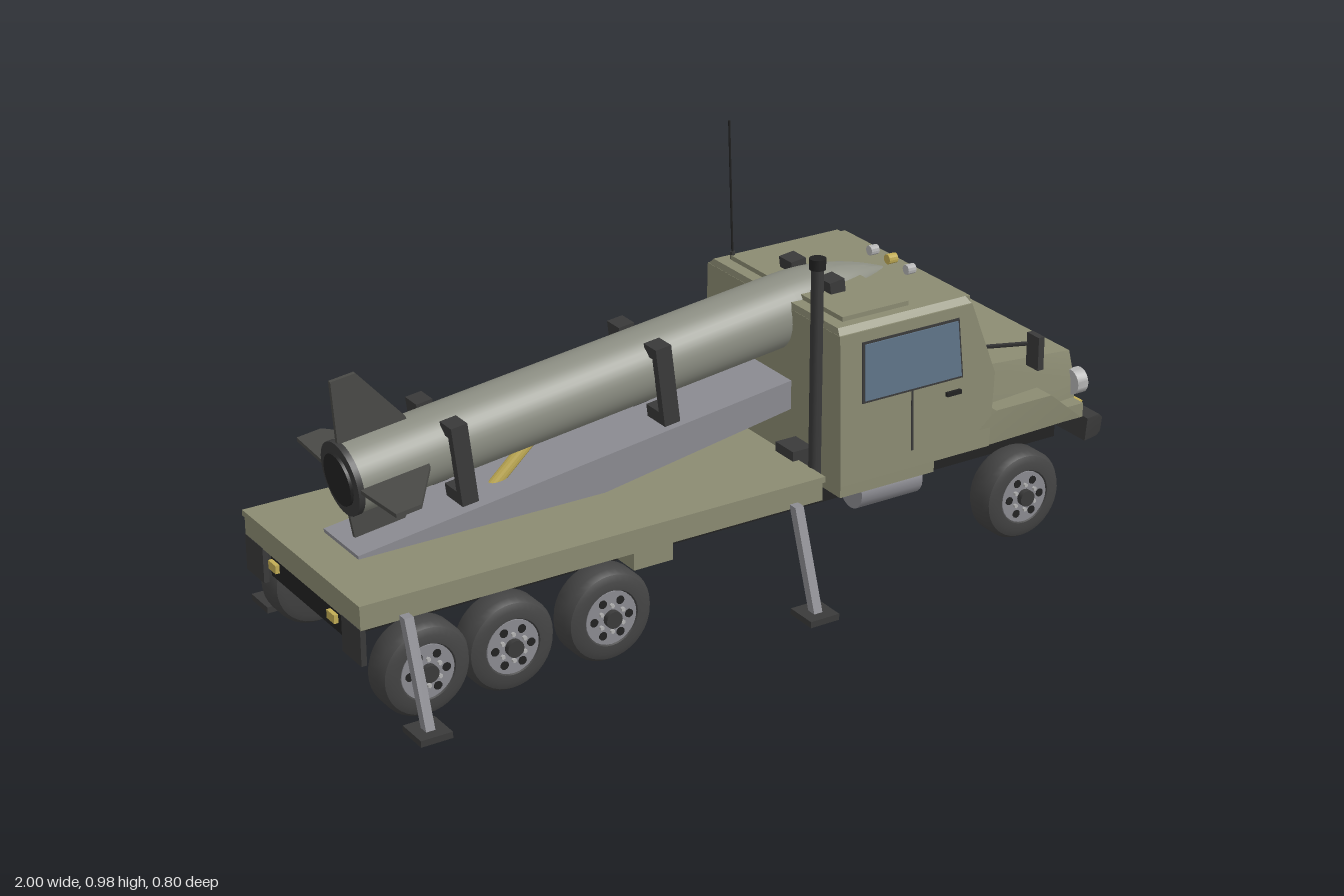
import * as THREE from 'three';
import { toCreasedNormals } from 'three/addons/utils/BufferGeometryUtils.js';
import { ConvexGeometry } from 'three/addons/geometries/ConvexGeometry.js';

const paint = (color) => new THREE.MeshStandardMaterial({ color });
const olive = paint(0x8b8b72), dark = paint(0x3a3a3a), black = paint(0x222222), tyre = paint(0x444444);
const steel = paint(0x8c8c92), light = paint(0xb5b5b5), glass = paint(0x5f7488), amber = paint(0xc2ad55);
const body = paint(0x8c8e83), finGrey = paint(0x4a4a47);

const V = (x, y, z) => new THREE.Vector3(x, y, z);

function add(parent, name, geo, mat, x = 0, y = 0, z = 0) {
  const m = new THREE.Mesh(toCreasedNormals(geo, 0.6), mat);
  m.name = name;
  m.position.set(x, y, z);
  parent.add(m);
  return m;
}
// box given by its limits
function box(parent, name, mat, x0, x1, y0, y1, z0, z1) {
  return add(parent, name, new THREE.BoxGeometry(x1 - x0, y1 - y0, Math.abs(z1 - z0)), mat,
    (x0 + x1) / 2, (y0 + y1) / 2, (z0 + z1) / 2);
}
// convex solid through corner points
const hull = (parent, name, mat, pts) => add(parent, name, new ConvexGeometry(pts.map((p) => V(...p))), mat);
// rod between two points
function rod(parent, name, mat, a, b, r, sides = 12) {
  const d = b.clone().sub(a);
  const m = add(parent, name, new THREE.CylinderGeometry(r, r, d.length(), sides), mat);
  m.position.copy(a).addScaledVector(d, 0.5);
  m.quaternion.setFromUnitVectors(V(0, 1, 0), d.normalize());
  return m;
}
const disc = (parent, name, mat, x, y, z, r, depth, sides = 20) =>
  rod(parent, name, mat, V(x - depth / 2, y, z), V(x + depth / 2, y, z), r, sides);

// wheel whose outer side faces +z
function wheel() {
  const g = new THREE.Group();
  g.name = 'wheel';
  const profile = [[0, -0.042], [0.085, -0.042], [0.1, -0.036], [0.109, -0.022], [0.109, 0.022],
    [0.1, 0.036], [0.085, 0.042], [0.066, 0.042], [0.06, 0.03]].map((p) => new THREE.Vector2(...p));
  add(g, 'tyre', new THREE.LatheGeometry(profile, 36).rotateX(Math.PI / 2), tyre);
  rod(g, 'rim', steel, V(0, 0, 0.02), V(0, 0, 0.04), 0.063, 28);
  rod(g, 'hub', dark, V(0, 0, 0.03), V(0, 0, 0.054), 0.02, 16);
  for (let i = 0; i < 6; i++) {
    const a = (i * Math.PI) / 3, c = Math.cos(a), s = Math.sin(a);
    rod(g, 'rimHole', black, V(c * 0.044, s * 0.044, 0.03), V(c * 0.044, s * 0.044, 0.042), 0.01, 10);
    const b = a + Math.PI / 6;
    rod(g, 'wheelNut', light, V(Math.cos(b) * 0.031, Math.sin(b) * 0.031, 0.03),
      V(Math.cos(b) * 0.031, Math.sin(b) * 0.031, 0.047), 0.005, 6);
  }
  return g;
}

// rocket along local +x, tail at the origin
function rocket() {
  const g = new THREE.Group();
  g.name = 'rocket';
  const R = 0.083, start = 1.13, end = 1.431;
  const pts = [[0, 0], [R, 0], [R, start]].map((p) => new THREE.Vector2(...p));
  for (let i = 1; i <= 12; i++) {
    const t = i / 12;
    pts.push(new THREE.Vector2(Math.max(0, R * (1 - t ** 2.1)), start + (end - start) * t));
  }
  add(g, 'rocketBody', new THREE.LatheGeometry(pts, 40).rotateZ(-Math.PI / 2), body);
  disc(g, 'tailRing', dark, 0.002, 0, 0, R + 0.002, 0.014, 40);
  disc(g, 'nozzle', black, -0.004, 0, 0, 0.06, 0.016, 28);
  const fin = new THREE.Shape([[0, 0.07], [0.17, 0.07], [0.165, 0.09], [0.068, 0.228], [0.008, 0.228]]
    .map((p) => new THREE.Vector2(...p)));
  for (let i = 0; i < 4; i++) {
    const geo = new THREE.ExtrudeGeometry(fin, { depth: 0.01, bevelEnabled: false }).translate(0, 0, -0.005);
    add(g, 'fin', geo, finGrey).rotation.x = (i * Math.PI) / 2;
  }
  // cradle clamps
  for (const x of [0.24, 0.755, 1.22]) for (const s of [1, -1]) {
    box(g, 'clampArm', dark, x - 0.02, x + 0.02, -0.115, 0.072, s * 0.082, s * 0.102);
    box(g, 'clampLip', dark, x - 0.02, x + 0.02, 0.046, 0.074, s * 0.052, s * 0.102);
    box(g, 'clampFoot', dark, x - 0.02, x + 0.02, -0.115, -0.085, s * 0.03, s * 0.102);
  }
  g.position.set(-0.89, 0.453, 0);
  g.rotation.z = Math.atan(0.1236);
  return g;
}

function cab(g) {
  const wide = (y) => 0.28 - (y - 0.25) * 0.035;
  const both = (list) => list.flatMap(([x, y, z = wide(y)]) => [[x, y, z], [x, y, -z]]);
  const frontX = (y) => 0.565 + (0.63 - y) * 0.37;
  hull(g, 'cabShell', olive, both([[0.205, 0.262], [0.62, 0.262], [0.635, 0.44], [0.568, 0.622], [0.205, 0.622]]));
  box(g, 'cabFloor', olive, 0.205, 0.465, 0.235, 0.265, -0.278, 0.278);
  hull(g, 'roof', olive, both([[0.205, 0.62, 0.265], [0.57, 0.62, 0.265], [0.56, 0.636, 0.25], [0.21, 0.636, 0.25]]));
  box(g, 'roofHatch', olive, 0.24, 0.42, 0.63, 0.647, -0.225, 0.225);
  box(g, 'windscreenVisor', olive, 0.55, 0.578, 0.612, 0.632, -0.245, 0.245);
  // bonnet and wings
  hull(g, 'bonnet', olive, both([[0.6, 0.262, 0.25], [0.6, 0.445, 0.23], [0.63, 0.442, 0.23],
    [0.915, 0.403, 0.195], [0.92, 0.262, 0.215], [0.92, 0.33, 0.213]]));
  for (const s of [1, -1]) {
    const wing = [[0.56, 0.262], [0.58, 0.3], [0.64, 0.345], [0.8, 0.345], [0.87, 0.285], [0.9, 0.262]];
    hull(g, 'wing', olive, wing.flatMap(([x, y]) => [[x, y, s * 0.17], [x, y, s * (x > 0.84 ? 0.265 : 0.278)]]));
    box(g, 'frontCorner', olive, 0.86, 0.915, 0.255, 0.29, s * 0.18, s * 0.255);
    // glazing
    hull(g, 'windscreenPane', glass, [0.475, 0.605].flatMap((y) => [0.012, 0.238].flatMap((z) =>
      [[frontX(y) - 0.01, y, s * z], [frontX(y) + 0.005, y, s * z]])));
    const pane = (name, mat, pts, out) => hull(g, name, mat,
      pts.flatMap(([x, y]) => [[x, y, s * (wide(y) - 0.01)], [x, y, s * (wide(y) + out)]]));
    pane('windowFrame', dark, [[0.264, 0.596], [0.531, 0.596], [0.543, 0.45], [0.264, 0.45]], 0.002);
    pane('sideWindow', glass, [[0.27, 0.59], [0.526, 0.59], [0.537, 0.456], [0.27, 0.456]], 0.005);
    pane('doorSeam', dark, [[0.399, 0.45], [0.404, 0.45], [0.404, 0.305], [0.399, 0.305]], 0.002);
    pane('doorHandle', black, [[0.495, 0.424], [0.535, 0.424], [0.535, 0.414], [0.495, 0.414]], 0.008);
    // mirror
    rod(g, 'mirrorArm', dark, V(0.615, 0.505, s * 0.265), V(0.67, 0.535, s * 0.36), 0.005, 8);
    box(g, 'mirror', dark, 0.662, 0.678, 0.48, 0.56, s * 0.35, s * 0.393);
    // lamps
    disc(g, 'headlight', light, 0.923, 0.33, s * 0.212, 0.031, 0.03, 24);
    box(g, 'indicator', amber, 0.9, 0.928, 0.266, 0.287, s * 0.2, s * 0.236);
    disc(g, 'roofLamp', light, 0.535, 0.648, s * 0.072, 0.012, 0.022, 12);
  }
  disc(g, 'roofLamp', amber, 0.535, 0.65, 0, 0.012, 0.024, 12);
  // grille
  box(g, 'grille', dark, 0.9, 0.925, 0.25, 0.387, -0.188, 0.188);
  for (let i = 0; i < 5; i++) box(g, 'grilleBar', steel, 0.92, 0.932, 0.27 + i * 0.024, 0.276 + i * 0.024, -0.178, 0.178);
  // bumper
  hull(g, 'bumper', dark, both([[0.925, 0.19, 0.255], [0.925, 0.25, 0.262], [0.965, 0.193, 0.25],
    [0.975, 0.203, 0.25], [0.975, 0.24, 0.255], [0.965, 0.25, 0.255]]));
  box(g, 'bumperMount', dark, 0.88, 0.93, 0.2, 0.245, -0.16, 0.16);
  box(g, 'numberPlate', light, 0.97, 0.98, 0.209, 0.234, -0.052, 0.052);
  for (const s of [1, -1]) {
    disc(g, 'fogLamp', amber, 0.985, 0.221, s * 0.102, 0.013, 0.03, 8);
    for (const z of [0.135, 0.222]) disc(g, 'bumperBolt', steel, 0.975, 0.221, s * z, 0.005, 0.008, 8);
  }
}

export function createModel() {
  const g = new THREE.Group();
  g.name = 'rocketTruck';
  // chassis and flat bed
  box(g, 'chassis', black, -0.985, 0.9, 0.177, 0.24, -0.172, 0.172);
  box(g, 'bedSide', olive, -0.997, 0.162, 0.238, 0.285, -0.27, 0.27);
  box(g, 'bedTop', olive, -1, 0.166, 0.283, 0.297, -0.275, 0.275);
  cab(g);
  g.add(rocket());
  // ramp and its lift ram
  const ramp = new THREE.Shape([[-0.9, 0.295], [-0.3, 0.295], [0.205, 0.38], [0.205, 0.45], [-0.9, 0.305]]
    .map((p) => new THREE.Vector2(...p)));
  add(g, 'ramp', new THREE.ExtrudeGeometry(ramp, { depth: 0.16, bevelEnabled: false }), steel, 0, 0, -0.08);
  rod(g, 'liftRam', amber, V(-0.53, 0.34, 0), V(-0.42, 0.44, 0), 0.014, 14);

  for (const s of [1, -1]) {
    for (const x of [-0.855, -0.65, -0.405, 0.72]) {
      const w = wheel();
      w.position.set(x, 0.112, s * 0.252);
      if (s < 0) w.rotation.y = Math.PI;
      g.add(w);
    }
    // stabiliser legs
    for (const x of [-0.895, 0.085]) {
      hull(g, 'stabiliserLeg', steel, [-0.011, 0.011].flatMap((d) => [[x + d, 0.25, s * 0.268],
        [x + d, 0.25, s * 0.292], [x + d, 0.018, s * 0.348], [x + d, 0.018, s * 0.372]]));
      box(g, 'stabiliserFoot', dark, x - 0.038, x + 0.038, 0.005, 0.02, s * 0.318, s * 0.398);
    }
    // side equipment
    disc(g, 'fuelTank', steel, 0.375, 0.203, s * 0.2, 0.044, 0.17, 20);
    box(g, 'toolBox', olive, -0.33, -0.23, 0.194, 0.24, s * 0.17, s * 0.265);
    box(g, 'cabMount', dark, 0.15, 0.21, 0.23, 0.32, s * 0.1, s * 0.17);
    // rear
    box(g, 'mudFlap', dark, -0.998, -0.985, 0.155, 0.24, s * 0.185, s * 0.27);
    box(g, 'tailLamp', amber, -1, -0.99, 0.205, 0.225, s * 0.12, s * 0.155);
  }
  // exhaust stack
  rod(g, 'exhaust', dark, V(0.178, 0.25, 0.215), V(0.178, 0.78, 0.215), 0.0145, 16);
  rod(g, 'exhaustCap', black, V(0.178, 0.772, 0.215), V(0.178, 0.797, 0.215), 0.019, 16);
  // aerial
  rod(g, 'aerialBase', dark, V(0.246, 0.63, -0.225), V(0.246, 0.655, -0.225), 0.006, 8);
  rod(g, 'aerial', black, V(0.246, 0.64, -0.225), V(0.228, 0.98, -0.214), 0.0025, 6);
  return g;
}
